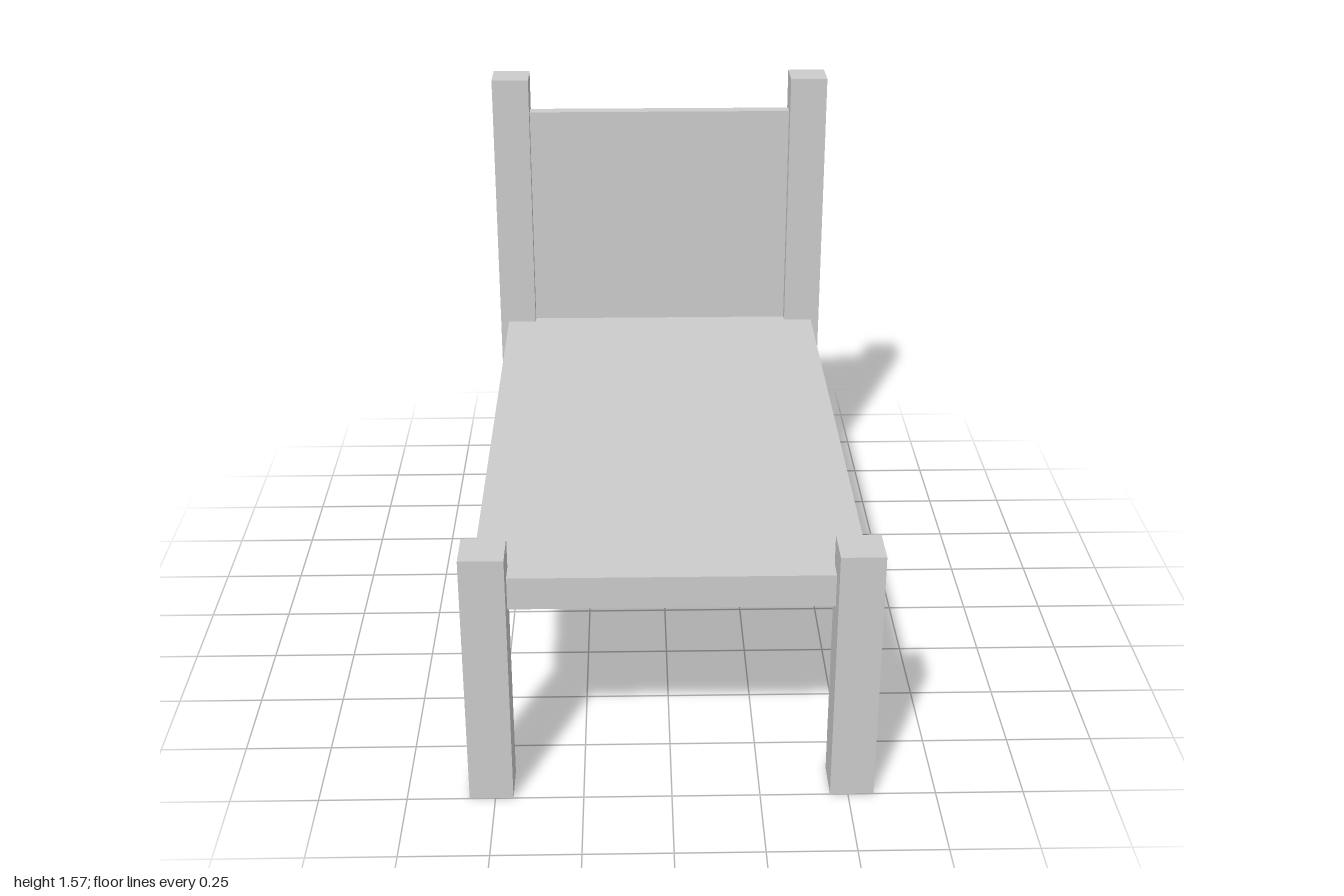
import * as THREE from 'three';

export function createModel() {
  const group = new THREE.Group();
  const material = new THREE.MeshStandardMaterial({ color: 0xcccccc, flatShading: true });

  // Box given by its centre in x and z, its bottom and its size
  function addBox(name, [w, h, d], x, bottom, z) {
    const mesh = new THREE.Mesh(new THREE.BoxGeometry(w, h, d), material);
    mesh.name = name;
    mesh.position.set(x, bottom + h / 2, z);
    group.add(mesh);
  }

  // Corner posts: short at the foot, tall at the head
  const post = 0.124;
  for (const [side, x] of [['left', 0.511], ['right', -0.511]]) {
    addBox(`${side}FootPost`, [post, 0.772, post], x, 0, 0.938);
    addBox(`${side}HeadPost`, [post, 1.57, post], x, 0, -0.938);
  }

  // Bed slab, notched into the posts
  addBox('bedSlab', [1.09, 0.097, 1.845], 0, 0.585, 0.016);

  // Headboard panel between the tall posts
  addBox('headboard', [0.9, 0.785, 0.044], 0, 0.66, -0.943);

  return group;
}
